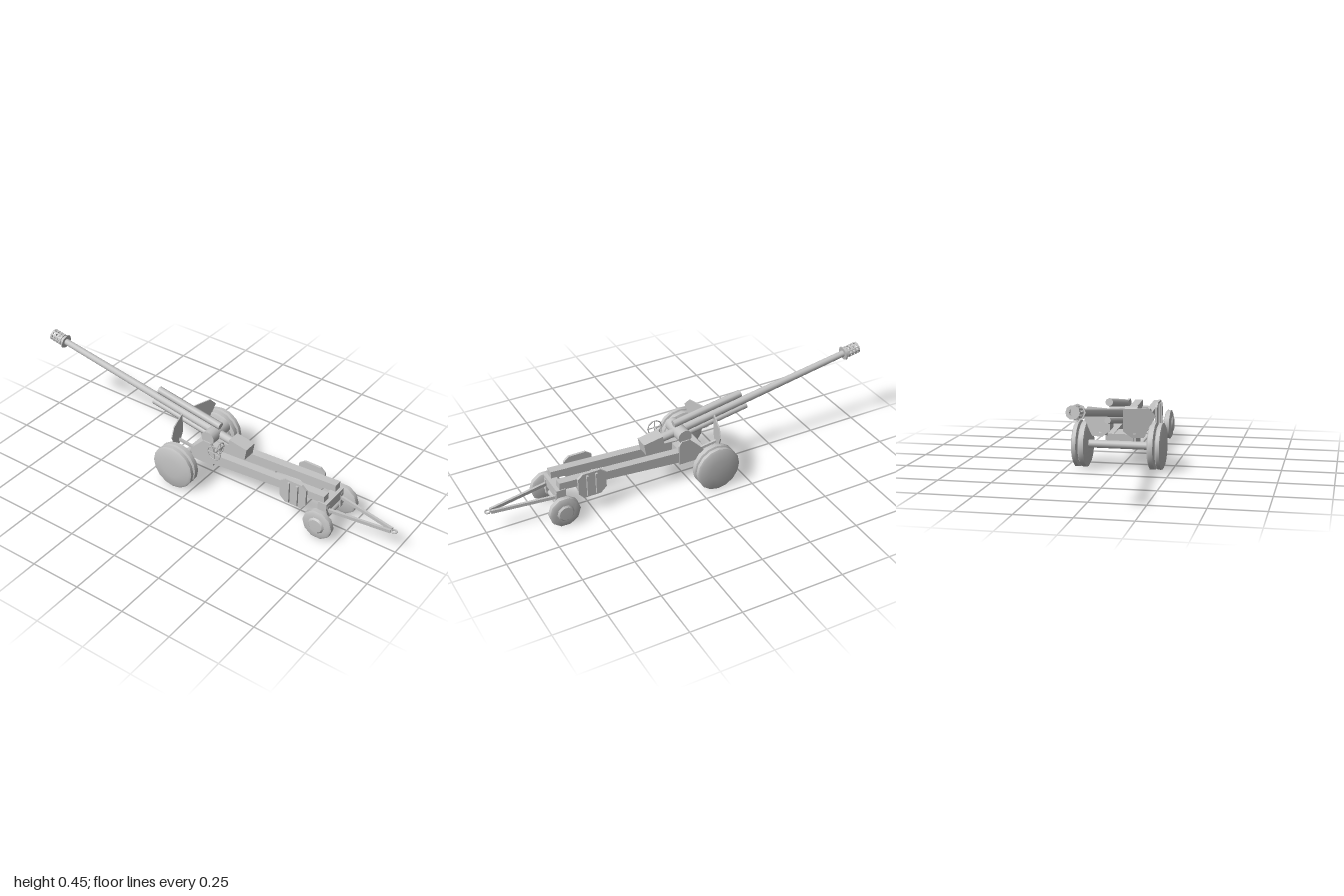
import * as THREE from 'three';
import { toCreasedNormals } from 'three/addons/utils/BufferGeometryUtils.js';

export function createModel() {
  const model = new THREE.Group();
  const grey = new THREE.MeshStandardMaterial({ color: 0xc4c4c4 });
  grey.name = 'plain grey';

  const add = (parent, name, geo, x = 0, y = 0, z = 0) => {
    const m = new THREE.Mesh(geo, grey);
    m.name = name;
    m.position.set(x, y, z);
    parent.add(m);
    return m;
  };
  const box = (parent, name, w, h, d, x, y, z) => add(parent, name, new THREE.BoxGeometry(w, h, d), x, y, z);
  const cylX = (r, len, n = 12) => new THREE.CylinderGeometry(r, r, len, n).rotateZ(Math.PI / 2);
  const polygon = pts => new THREE.Shape(pts.map(p => new THREE.Vector2(p[0], p[1])));
  const extrude = (shape, depth) => new THREE.ExtrudeGeometry(shape, { depth, bevelEnabled: false, curveSegments: 5 });

  // Turned wheel: [radius, distance from the centre line] profile, spun about x
  const wheel = (name, profile, sides, side, y, z) => {
    const geo = new THREE.LatheGeometry(profile.map(p => new THREE.Vector2(p[0], p[1])), sides);
    add(model, name, toCreasedNormals(geo, 0.7), 0, y, z).rotation.z = -side * Math.PI / 2;
  };
  // Square bar between two points
  const bar = (parent, name, a, b, w, h) => {
    const A = new THREE.Vector3(...a), B = new THREE.Vector3(...b);
    const m = box(parent, name, w, h, A.distanceTo(B), 0, 0, 0);
    m.position.copy(A).add(B).multiplyScalar(0.5);
    m.lookAt(B);
  };

  const innerTyre = [[0, 0.145], [0.1, 0.145], [0.111, 0.151], [0.111, 0.174], [0.1, 0.18], [0, 0.18]];
  const outerTyre = [[0, 0.182], [0.1, 0.182], [0.111, 0.188], [0.111, 0.205], [0.1, 0.211], [0.05, 0.217], [0, 0.219]];
  const smallTyre = [[0, 0.095], [0.066, 0.095], [0.076, 0.1], [0.076, 0.122], [0.066, 0.127], [0.042, 0.128], [0.034, 0.136], [0, 0.137]];

  for (const s of [-1, 1]) {
    wheel('mainWheelInner', innerTyre, 16, s, 0.111, -0.09);
    wheel('mainWheelOuter', outerTyre, 16, s, 0.111, -0.09);
    wheel('trailWheel', smallTyre, 10, s, 0.074, 0.66);

    // Tapered trail beam: side profile in z, y, extruded across x
    const beam = extrude(polygon([[-0.08, 0.1], [0.66, 0.163], [0.66, 0.2], [-0.08, 0.16]]), 0.04);
    beam.rotateY(-Math.PI / 2);
    add(model, 'trailBeam', beam, s * 0.05 + 0.02, 0, 0);

    // Cheek holding the trunnion
    const cheek = extrude(polygon([[-0.07, 0.1], [0.05, 0.1], [0.05, 0.2], [0.035, 0.225], [-0.005, 0.225], [-0.07, 0.16]]), 0.014);
    cheek.rotateY(-Math.PI / 2);
    add(model, 'cheek', cheek, s * 0.066 + 0.007, 0, 0);

    // Eight-sided spade with ribs, stowed against the trail
    const spade = extrude(polygon([[0.465, 0.092], [0.55, 0.092], [0.575, 0.12], [0.575, 0.2], [0.55, 0.222], [0.465, 0.222], [0.435, 0.2], [0.435, 0.12]]), 0.012);
    spade.rotateY(-Math.PI / 2);
    add(model, 'spade', spade, s * 0.08 + 0.006, 0, 0);
    for (const z of [0.485, 0.53]) box(model, 'spadeRib', 0.012, 0.11, 0.01, s * 0.09, 0.157, z);

    // Swept shield plate
    const pts = [[0.03, 0.293], [0.144, 0.293], [0.175, 0.257], [0.123, 0.157], [0.07, 0.157], [0.03, 0.19]];
    const shield = extrude(polygon(pts.map(p => [p[0] * s, p[1]])), 0.006);
    const pos = shield.attributes.position;
    for (let i = 0; i < pos.count; i++) pos.setZ(i, pos.getZ(i) - 0.175 + 0.33 * Math.abs(pos.getX(i)));
    shield.computeVertexNormals();
    add(model, 'shield', shield);
    bar(model, 'shieldStay', [s * 0.06, 0.15, -0.06], [s * 0.08, 0.18, -0.148], 0.012, 0.012);

    // Drawbar arm
    bar(model, 'drawbarArm', [s * 0.058, 0.125, 0.67], [s * 0.008, 0.113, 0.97], 0.012, 0.016);
    box(model, 'axleBracket', 0.018, 0.08, 0.04, s * 0.06, 0.11, 0.66);
  }

  // Axles, carriage and rear crossbeam
  add(model, 'mainAxle', cylX(0.019, 0.31), 0, 0.112, -0.1);
  add(model, 'trailAxle', cylX(0.015, 0.21), 0, 0.075, 0.66);
  box(model, 'saddle', 0.13, 0.05, 0.12, 0, 0.135, -0.025);
  box(model, 'rearCrossbeam', 0.15, 0.05, 0.045, 0, 0.14, 0.655);
  add(model, 'towingEye', new THREE.TorusGeometry(0.012, 0.004, 6, 12).rotateX(Math.PI / 2), 0, 0.113, 0.984);
  add(model, 'trunnion', cylX(0.035, 0.134, 16), 0, 0.243, 0.015);

  // Handwheels with spokes, and their shaft
  const handwheel = (x, y, z, r, turn) => {
    const g = new THREE.Group();
    g.name = 'handwheel';
    add(g, 'rim', new THREE.TorusGeometry(r, 0.003, 5, 10));
    for (let i = 0; i < 2; i++) box(g, 'spoke', r * 2, 0.004, 0.004, 0, 0, 0).rotation.z = i * Math.PI / 2;
    g.position.set(x, y, z);
    g.rotation.y = turn;
    model.add(g);
  };
  handwheel(-0.112, 0.216, 0.085, 0.037, Math.PI / 2);
  handwheel(-0.063, 0.212, 0.085, 0.03, 0);
  add(model, 'handwheelShaft', cylX(0.005, 0.08, 8), -0.074, 0.216, 0.085);

  // Gun, raised ten degrees; the bore runs along local -z
  const gun = new THREE.Group();
  gun.name = 'gun';
  gun.position.set(0, 0.2475, 0);
  gun.rotation.x = 0.174;
  model.add(gun);
  const tube = (name, rBack, rFront, zBack, zFront, y, n = 12) =>
    add(gun, name, new THREE.CylinderGeometry(rFront, rBack, zBack - zFront, n).rotateX(-Math.PI / 2), 0, y, (zBack + zFront) / 2);
  box(gun, 'breech', 0.068, 0.062, 0.1, 0, 0, 0.162);
  tube('barrel', 0.021, 0.016, 0.12, -0.95, 0);
  tube('upperRecoilCylinder', 0.018, 0.018, 0.035, -0.333, 0.046, 8);
  tube('lowerRecoilCylinder', 0.015, 0.015, 0.03, -0.355, -0.036, 8);
  tube('muzzleCollar', 0.035, 0.035, -0.925, -0.933, 0, 8);
  tube('muzzleNeck', 0.026, 0.026, -0.933, -0.945, 0, 10);

  // Perforated muzzle brake: ten drilled plates around the bore
  const w = 0.028 * Math.tan(Math.PI / 10);
  const panel = polygon([[-w, 0], [w, 0], [w, 0.066], [-w, 0.066]]);
  for (const h of [0.014, 0.033, 0.052]) {
    const hole = new THREE.Path();
    hole.absarc(0, h, 0.006, 0, Math.PI * 2, true);
    panel.holes.push(hole);
  }
  const panelGeo = extrude(panel, 0.004).rotateX(-Math.PI / 2).translate(0, 0.024, -0.943);
  for (let i = 0; i < 10; i++) add(gun, 'muzzleBrakePlate', panelGeo).rotation.z = i * Math.PI / 5;
  const ring = polygon(Array.from({ length: 10 }, (_, i) => [0.028 * Math.cos(i * Math.PI / 5), 0.028 * Math.sin(i * Math.PI / 5)]));
  const bore = new THREE.Path();
  bore.absarc(0, 0, 0.014, 0, Math.PI * 2, true);
  ring.holes.push(bore);
  add(gun, 'muzzleRing', extrude(ring, 0.005), 0, 0, -1.01);

  return model;
}
